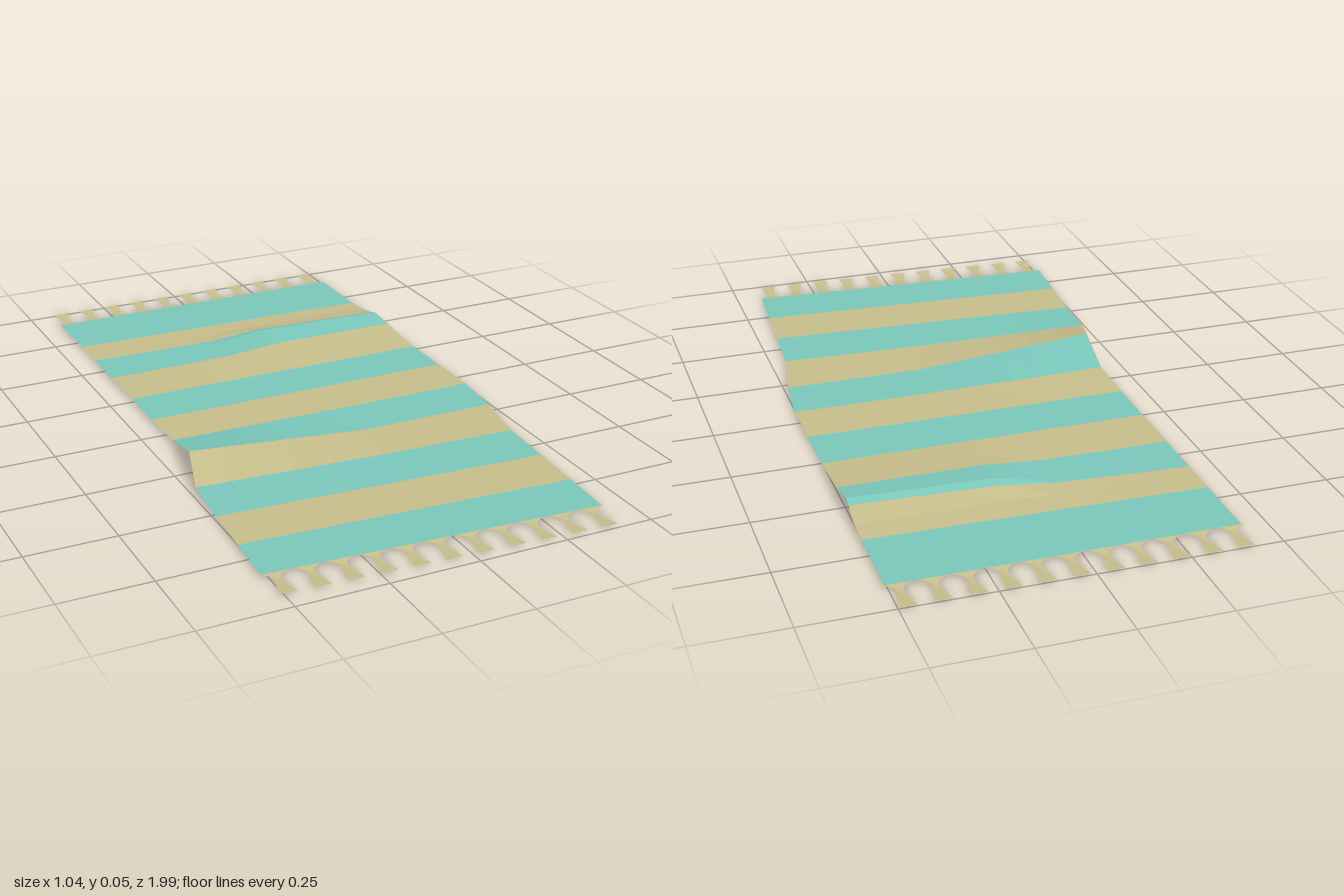
import * as THREE from 'three';

const BASE = 0.006;
const teal = new THREE.MeshStandardMaterial({ color: 0x7ac6ba, side: THREE.DoubleSide });
teal.name = 'teal weave';
const tan = new THREE.MeshStandardMaterial({ color: 0xc6bd8b, side: THREE.DoubleSide });
tan.name = 'sand weave';

// Piecewise linear lookup through [key, value] pairs
function lerpTable(pairs, t) {
  if (t <= pairs[0][0]) return pairs[0][1];
  for (let i = 1; i < pairs.length; i++) {
    const [k0, v0] = pairs[i - 1], [k1, v1] = pairs[i];
    if (t <= k1) return v0 + (v1 - v0) * (t - k0) / (k1 - k0);
  }
  return pairs[pairs.length - 1][1];
}

// Cross rows: x and z at the right edge, x and z at the left edge,
// height of the rear fold, height of the front fold
const rows = [
  [-0.43, -0.90, 0.505, -0.90, 0, 0],
  [-0.43, -0.70, 0.505, -0.68, 0, 0],
  [-0.43, -0.62, 0.505, -0.61, 0.005, 0],
  [-0.43, -0.58, 0.50, -0.535, 0.019, 0],
  [-0.43, -0.55, 0.50, -0.51, 0.027, 0],
  [-0.43, -0.43, 0.505, -0.43, 0.016, 0],
  [-0.43, -0.34, 0.505, -0.34, 0.006, 0],
  [-0.43, -0.26, 0.505, -0.26, 0, 0],
  [-0.43, -0.10, 0.505, -0.10, 0, 0],
  [-0.43, 0.06, 0.505, 0.06, 0, 0.004],
  [-0.445, 0.22, 0.49, 0.22, 0, 0.043],
  [-0.485, 0.36, 0.455, 0.40, 0, 0.007],
  [-0.495, 0.52, 0.445, 0.57, 0, 0],
  [-0.505, 0.68, 0.435, 0.73, 0, 0],
  [-0.515, 0.84, 0.425, 0.89, 0, 0],
];
const columns = [0, 0.1, 0.2, 0.3, 0.42, 0.57, 0.7, 0.85, 1];
const rearFold = [[0.15, 0], [0.42, 0.25], [0.57, 1]];
const frontFold = [[0, 1], [0.57, 0]];

function rugPoint(row, u) {
  const [x0, z0, x1, z1, rear, front] = row;
  const y = BASE + rear * lerpTable(rearFold, u) + front * lerpTable(frontFold, u);
  return [x0 + (x1 - x0) * u, y, z0 + (z1 - z0) * u];
}

// One coloured band spanning a run of rows, faceted
function band(from, to, material, name) {
  const p = [];
  for (let r = from; r < to; r++) {
    for (let c = 0; c < columns.length - 1; c++) {
      const a = rugPoint(rows[r], columns[c]), b = rugPoint(rows[r + 1], columns[c]);
      const d = rugPoint(rows[r], columns[c + 1]), e = rugPoint(rows[r + 1], columns[c + 1]);
      p.push(...a, ...b, ...e, ...a, ...e, ...d);
    }
  }
  const geometry = new THREE.BufferGeometry();
  geometry.setAttribute('position', new THREE.Float32BufferAttribute(p, 3));
  geometry.computeVertexNormals();
  const mesh = new THREE.Mesh(geometry, material);
  mesh.name = name;
  return mesh;
}

// Flat tassel: broad knot at the rug, narrow waist, flared tip
function tasselGeometry() {
  const half = [[0.042, 0], [0.026, 0.005], [0.014, 0.014], [0.009, 0.026], [0.013, 0.05], [0.023, 0.1]];
  const outline = [
    ...half.map(([x, y]) => new THREE.Vector2(x, y)),
    ...half.slice().reverse().map(([x, y]) => new THREE.Vector2(-x, y)),
  ];
  const geometry = new THREE.ShapeGeometry(new THREE.Shape(outline));
  geometry.rotateX(-Math.PI / 2);
  const pos = geometry.attributes.position;
  const droop = [[0, BASE], [0.026, 0.001], [0.05, 0], [0.1, 0.004]];
  for (let i = 0; i < pos.count; i++) pos.setY(i, lerpTable(droop, -pos.getZ(i)));
  geometry.computeVertexNormals();
  return geometry;
}

function fringe(name, start, end, turn) {
  const group = new THREE.Group();
  group.name = name;
  const geometry = tasselGeometry();
  const count = 11;
  for (let i = 0; i < count; i++) {
    const t = i / (count - 1);
    const tassel = new THREE.Mesh(geometry, tan);
    tassel.name = 'tassel';
    tassel.position.set(start[0] + (end[0] - start[0]) * t, 0, start[1] + (end[1] - start[1]) * t);
    tassel.rotation.y = turn;
    group.add(tassel);
  }
  return group;
}

export function createModel() {
  const model = new THREE.Group();
  model.name = 'stripedRug';

  // Alternating stripes, from back to front
  const stops = [0, 1, 3, 5, 7, 8, 9, 10, 11, 12, 13, 14];
  for (let i = 0; i < stops.length - 1; i++) {
    const isTeal = i % 2 === 0;
    model.add(band(stops[i], stops[i + 1], isTeal ? teal : tan, isTeal ? 'tealStripe' : 'sandStripe'));
  }

  // Tasselled ends
  model.add(fringe('backFringe', [-0.40, -0.90], [0.475, -0.90], 0));
  model.add(fringe('frontFringe', [-0.483, 0.842], [0.39, 0.888], Math.PI - 0.053));
  return model;
}
